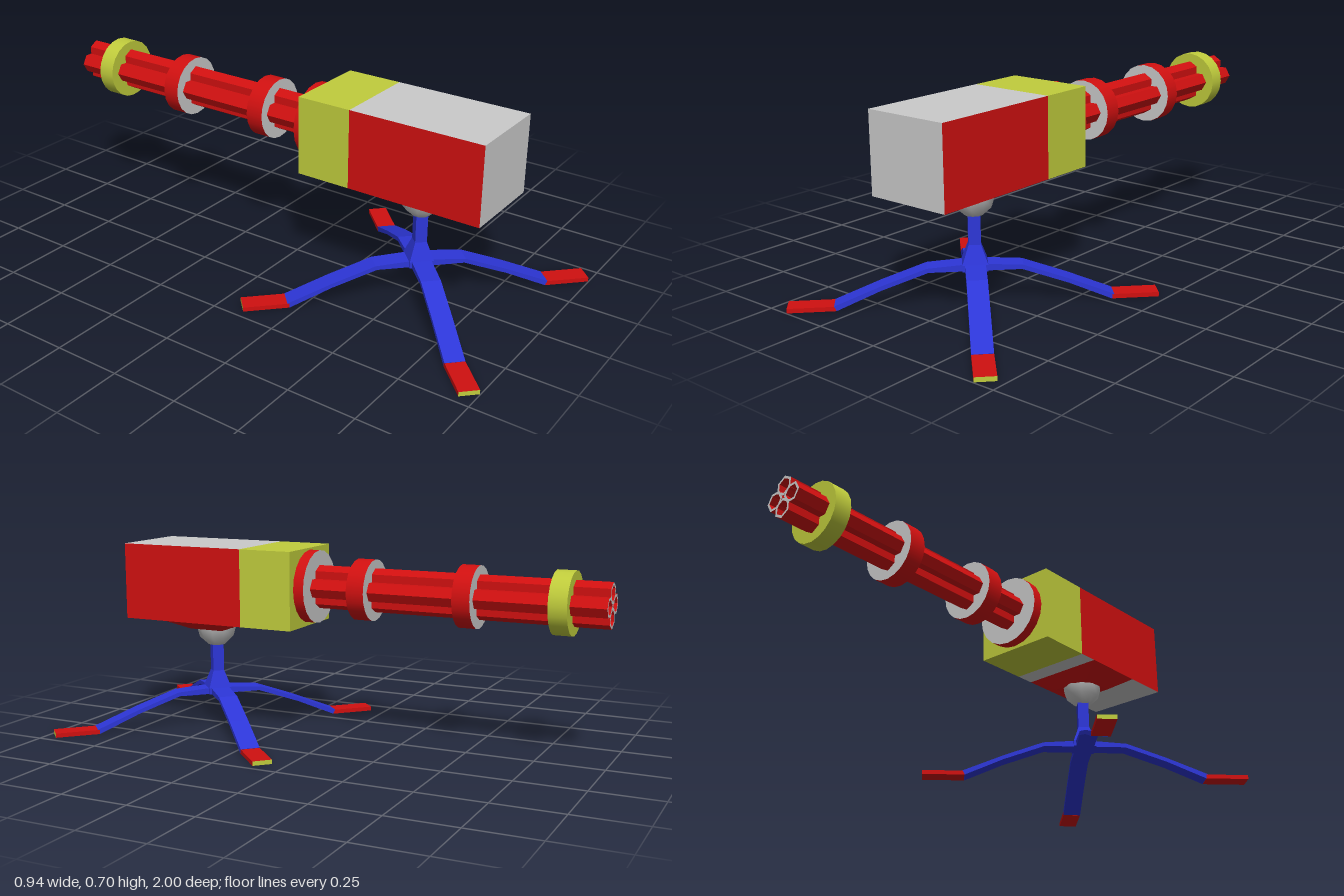
import * as THREE from 'three';

const mat = (name, color) => {
  const m = new THREE.MeshStandardMaterial({ color });
  m.name = name;
  return m;
};

export function createModel() {
  const red = mat('red', 0xd01010);
  const yellow = mat('yellow', 0xc0cc3c);
  const blue = mat('blue', 0x2d36d8);
  const grey = mat('grey', 0xcacaca);

  const root = new THREE.Group();
  root.name = 'mountedRotaryGun';
  const add = (parent, name, geo, material, x = 0, y = 0, z = 0) => {
    const mesh = new THREE.Mesh(geo, material);
    mesh.name = name;
    mesh.position.set(x, y, z);
    parent.add(mesh);
    return mesh;
  };
  const flat = (geo) => {
    const g = geo.toNonIndexed();
    g.computeVertexNormals();
    return g;
  };

  // Stand, centred under the body
  const stand = new THREE.Group();
  stand.name = 'stand';
  stand.position.z = 0.527;
  root.add(stand);

  // Square post, standing on its corner, with a flared foot
  const post = (name, rTop, rBottom, y0, y1) =>
    add(stand, name, flat(new THREE.CylinderGeometry(rTop, rBottom, y1 - y0, 4)), blue, 0, (y0 + y1) / 2, 0);
  post('post', 0.03, 0.03, 0.21, 0.325);
  post('postFlare', 0.03, 0.062, 0.145, 0.21);
  post('hub', 0.062, 0.062, 0.122, 0.145);

  // Four bent legs on the diagonals, each with a flat foot
  const profile = new THREE.Shape([
    [0.02, 0.122], [0.158, 0.122], [0.318, 0.065], [0.467, 0],
    [0.475, 0.017], [0.318, 0.081], [0.163, 0.137], [0.02, 0.147],
  ].map(([d, y]) => new THREE.Vector2(d, y)));
  const width = 0.07;
  const legGeo = new THREE.ExtrudeGeometry(profile, { depth: width, bevelEnabled: false });
  legGeo.translate(0, 0, -width / 2);
  const footGeo = new THREE.BoxGeometry(0.163, 0.016, width);
  for (let i = 0; i < 4; i++) {
    const leg = new THREE.Group();
    leg.name = 'leg' + (i + 1);
    leg.rotation.y = Math.PI / 4 + (i * Math.PI) / 2;
    stand.add(leg);
    add(leg, 'strut', legGeo, blue);
    add(leg, 'foot', footGeo, [yellow, red, red, red, red, red], 0.5495, 0.008, 0);
  }

  // Swivel ball
  const ball = [[0, 0.311], [0.033, 0.313], [0.065, 0.343], [0.076, 0.381]]
    .map(([r, y]) => new THREE.Vector2(r, y));
  add(stand, 'swivelBall', new THREE.LatheGeometry(ball, 10), grey);

  // Tapered bracket between ball and body
  const bracket = new THREE.BoxGeometry(0.322, 0.038, 0.25);
  const pos = bracket.attributes.position;
  for (let i = 0; i < pos.count; i++) {
    if (pos.getY(i) < 0) {
      pos.setX(i, pos.getX(i) * 0.47);
      pos.setZ(i, pos.getZ(i) * 0.55);
    }
  }
  add(stand, 'bracket', flat(bracket), red, 0, 0.398, 0);

  // Body: red flanks, grey elsewhere, then the yellow block
  add(root, 'body', new THREE.BoxGeometry(0.322, 0.288, 0.503),
    [red, red, grey, grey, grey, grey], 0, 0.561, 0.5785);
  add(root, 'barrelHousing', new THREE.BoxGeometry(0.322, 0.288, 0.207), yellow, 0, 0.561, 0.2235);

  // Barrel cluster
  const gun = new THREE.Group();
  gun.name = 'barrelCluster';
  gun.position.y = 0.563;
  root.add(gun);

  const disc = (name, r, z0, z1, side, cap) => {
    const g = new THREE.CylinderGeometry(r, r, z1 - z0, 20);
    g.rotateX(Math.PI / 2);
    add(gun, name, g, [side, cap, cap], 0, 0, (z0 + z1) / 2);
  };
  disc('basePlate', 0.135, 0.08, 0.125, red, grey);
  disc('rearRing', 0.112, -0.145, -0.078, red, grey);
  disc('middleRing', 0.112, -0.54, -0.475, red, grey);
  disc('muzzleRing', 0.112, -0.875, -0.81, yellow, yellow);

  // Four hexagonal hollow barrels with grey rims
  const hexagon = (r) => Array.from({ length: 6 }, (_, i) =>
    new THREE.Vector2(r * Math.cos((i * Math.PI) / 3), r * Math.sin((i * Math.PI) / 3)));
  const tube = new THREE.Shape(hexagon(0.038));
  tube.holes.push(new THREE.Path(hexagon(0.028)));
  const tubeGeo = new THREE.ExtrudeGeometry(tube, { depth: 1.1, bevelEnabled: false });
  const plugGeo = new THREE.CircleGeometry(0.03, 6);
  plugGeo.rotateY(Math.PI);
  for (let i = 0; i < 4; i++) {
    const barrel = new THREE.Group();
    barrel.name = 'barrel' + (i + 1);
    barrel.rotation.z = (i * Math.PI) / 2;
    gun.add(barrel);
    add(barrel, 'tube', tubeGeo, [grey, red], 0.042, 0, -1);
    add(barrel, 'boreEnd', plugGeo, red, 0.042, 0, -0.89);
  }

  return root;
}
